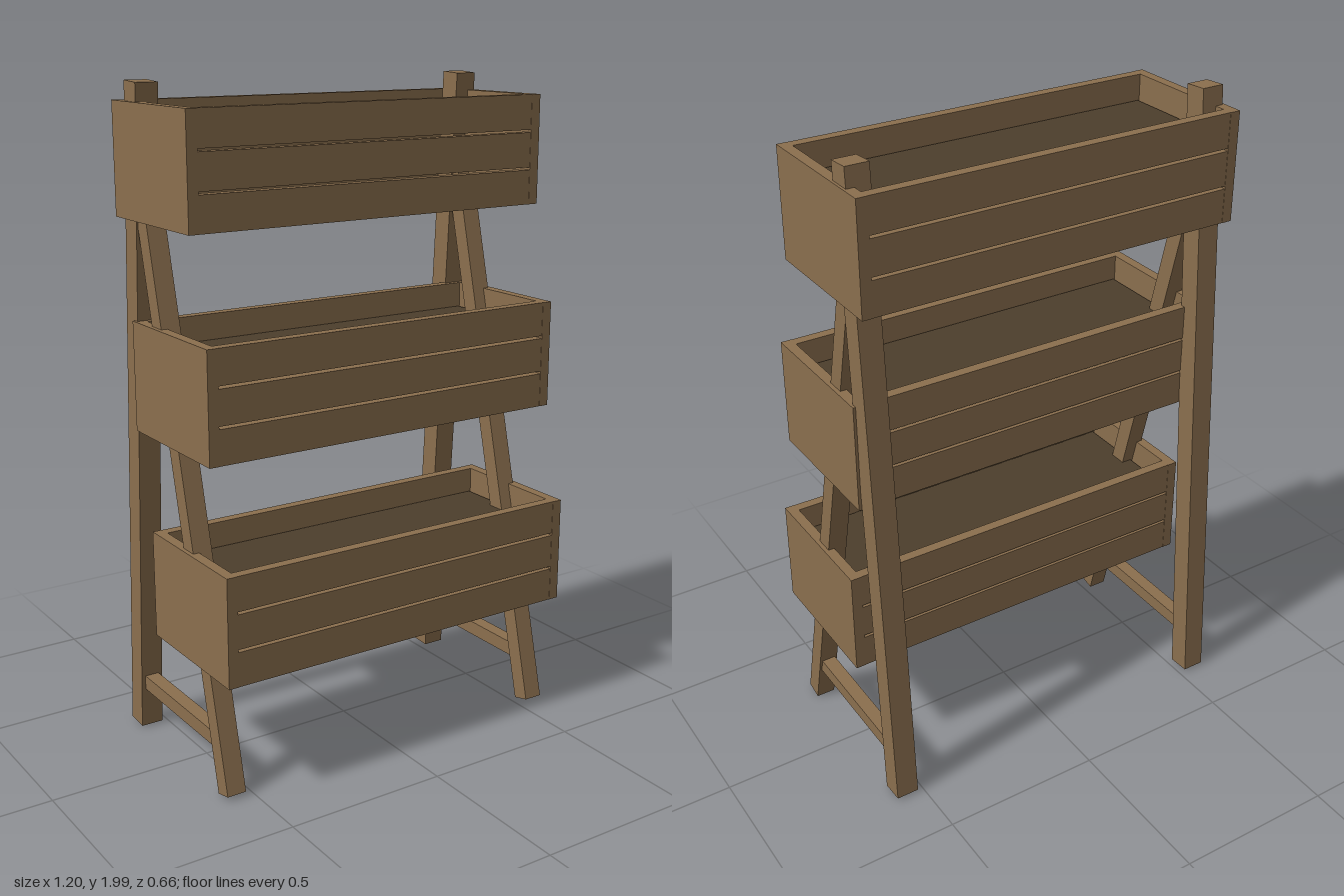
import * as THREE from 'three';

const wood = new THREE.MeshStandardMaterial({ color: 0x8b6f4e });
wood.name = 'wood';
const soil = new THREE.MeshStandardMaterial({ color: 0x4d3f2c });
soil.name = 'soil';

// Box given by its size and centre
function box(name, material, [w, h, d], [x, y, z]) {
  const mesh = new THREE.Mesh(new THREE.BoxGeometry(w, h, d), material);
  mesh.name = name;
  mesh.position.set(x, y, z);
  return mesh;
}

// Square-cut post leaning in the y-z plane between two end centres
function post(name, x, w, d, [y0, z0], [y1, z1]) {
  const mesh = box(name, wood, [w, Math.hypot(y1 - y0, z1 - z0), d], [x, (y0 + y1) / 2, (z0 + z1) / 2]);
  mesh.rotation.x = Math.atan2(z1 - z0, y1 - y0);
  return mesh;
}

// Slatted trough: origin at the bottom centre
function planter(name, y, z) {
  const g = new THREE.Group();
  g.name = name;
  g.position.set(0, y, z);
  const H = 0.328, D = 0.446, slat = 0.104, pitch = 0.112;
  for (const s of [-1, 1]) {
    g.add(box('endPanel', wood, [0.032, H, D], [s * 0.582, H / 2, 0]));
    for (let i = 0; i < 3; i++) {
      g.add(box('slat', wood, [1.132, slat, 0.032], [0, slat / 2 + i * pitch, s * (D / 2 - 0.017)]));
    }
  }
  g.add(box('floor', wood, [1.132, 0.02, D - 0.066], [0, 0.011, 0]));
  g.add(box('soil', soil, [1.115, 0.022, D - 0.075], [0, 0.24, 0]));
  return g;
}

export function createModel() {
  const model = new THREE.Group();
  model.name = 'tieredPlanterStand';

  // Three stepped troughs
  model.add(planter('lowerPlanter', 0.377, 0.108));
  model.add(planter('middlePlanter', 0.996, 0.027));
  model.add(planter('upperPlanter', 1.615, -0.056));

  // Two A-frames with a low brace
  for (const s of [-1, 1]) {
    const frame = new THREE.Group();
    frame.name = s > 0 ? 'leftFrame' : 'rightFrame';
    frame.add(post('backLeg', s * 0.555, 0.07, 0.07, [0.012, -0.293], [1.998, -0.175]));
    frame.add(post('frontLeg', s * 0.555, 0.06, 0.056, [0.012, 0.257], [1.82, -0.192]));
    frame.add(box('brace', wood, [0.044, 0.045, 0.5], [s * 0.555, 0.16, -0.015]));
    model.add(frame);
  }
  return model;
}
